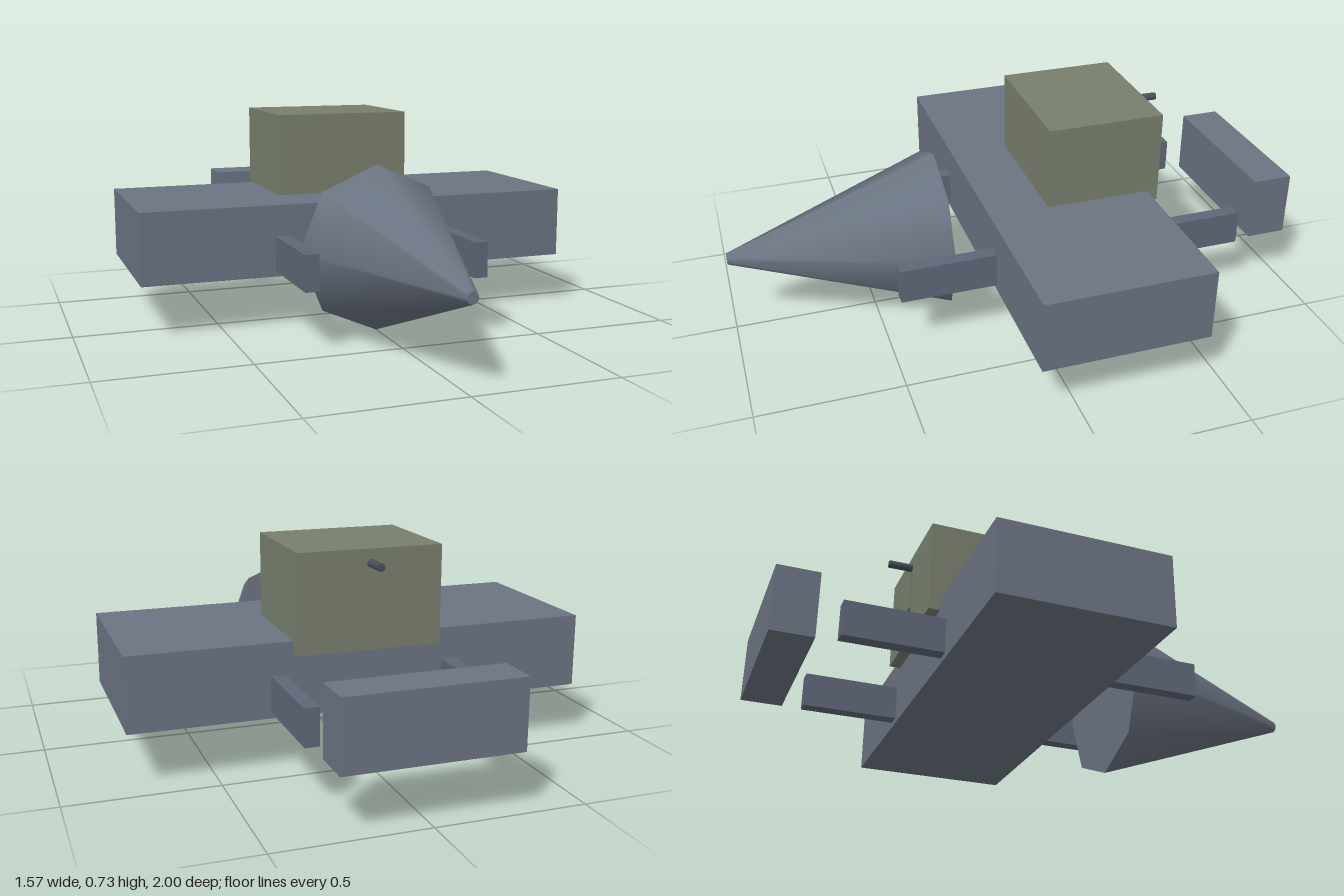
import * as THREE from 'three';

const slate = new THREE.MeshStandardMaterial({ color: 0x6b7482 });
const darkSlate = new THREE.MeshStandardMaterial({ color: 0x5f6777 });
const olive = new THREE.MeshStandardMaterial({ color: 0x787f6e });
const gunmetal = new THREE.MeshStandardMaterial({ color: 0x4b4f58 });

export function createModel() {
  const model = new THREE.Group();

  function add(name, geometry, material, x, y, z) {
    const mesh = new THREE.Mesh(geometry, material);
    mesh.name = name;
    mesh.position.set(x, y, z);
    model.add(mesh);
    return mesh;
  }

  // Box given by its lower and upper limits on each axis
  function box(name, material, [x0, x1], [y0, y1], [z0, z1]) {
    const geometry = new THREE.BoxGeometry(x1 - x0, y1 - y0, z1 - z0);
    return add(name, geometry, material, (x0 + x1) / 2, (y0 + y1) / 2, (z0 + z1) / 2);
  }

  // Wide hull, raised cabin and detached rear block
  box('hull', slate, [-0.785, 0.785], [0.19, 0.44], [-0.45, 0.13]);
  box('cabin', olive, [-0.245, 0.245], [0.4, 0.73], [-0.49, -0.08]);
  box('rearBlock', slate, [-0.29, 0.29], [0.2, 0.43], [-1, -0.857]);

  // Long side rails running through the hull
  for (const [name, x] of [['leftRail', 0.297], ['rightRail', -0.297]]) {
    box(name, darkSlate, [x - 0.024, x + 0.024], [0.21, 0.332], [-0.785, 0.465]);
  }

  // Eight-sided nose cone with a small blunt tip, pointing forward
  const cone = new THREE.CylinderGeometry(0.02, 0.288, 0.74, 8);
  cone.rotateX(Math.PI / 2);
  cone.scale(0.96, 1, 1);
  add('noseCone', cone, slate, 0, 0.293, 0.63);

  // Peg and thin strip on the back of the cabin
  const peg = new THREE.CylinderGeometry(0.014, 0.014, 0.1, 8);
  peg.rotateX(Math.PI / 2);
  add('rearPeg', peg, gunmetal, 0, 0.684, -0.525);
  box('rearStrip', olive, [-0.018, 0.018], [0.51, 0.66], [-0.499, -0.485]);

  return model;
}
